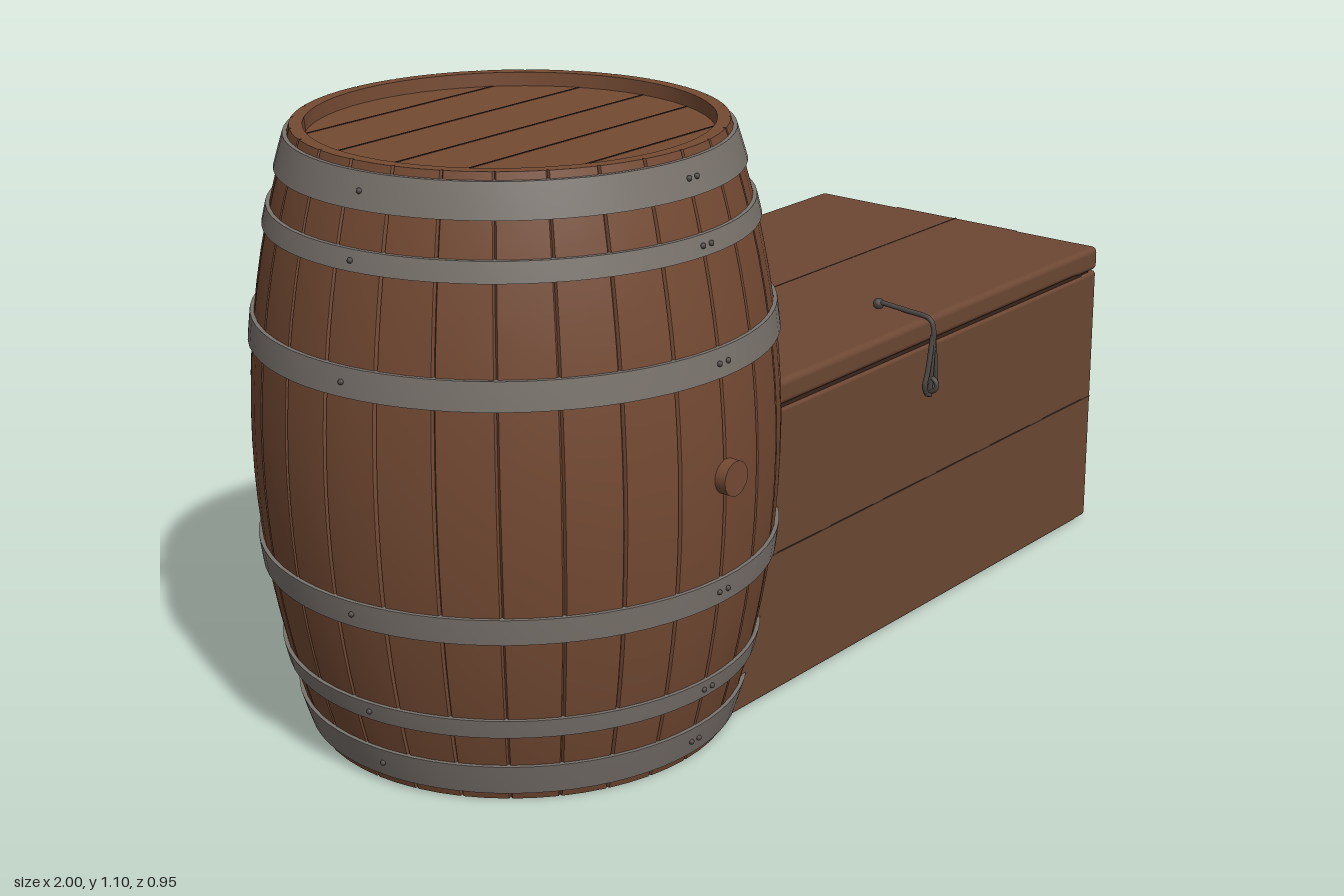
import * as THREE from 'three';
import { toCreasedNormals } from 'three/addons/utils/BufferGeometryUtils.js';
import { RoundedBoxGeometry } from 'three/addons/geometries/RoundedBoxGeometry.js';

const mat = (name, color) => Object.assign(new THREE.MeshStandardMaterial({ color }), { name });
const V = (x, y, z) => new THREE.Vector3(x, y, z);

export function createModel() {
  const barrelWood = mat('barrelWood', 0x744a33);
  const chestWood = mat('chestWood', 0x6c4733);
  const seamDark = mat('seamDark', 0x3a261b);
  const iron = mat('iron', 0x7a736d);
  const darkIron = mat('darkIron', 0x4c4743);
  const ropeBrown = mat('ropeBrown', 0x6e4933);

  const model = new THREE.Group();
  const barrel = new THREE.Group();
  barrel.name = 'barrel';
  barrel.position.set(-0.535, 0, -0.01);
  const chest = new THREE.Group();
  chest.name = 'chest';
  const handle = new THREE.Group();
  handle.name = 'ropeHandle';
  const latch = new THREE.Group();
  latch.name = 'latch';
  model.add(barrel, chest, handle, latch);

  const add = (parent, name, geometry, material) => {
    const mesh = new THREE.Mesh(geometry, material);
    mesh.name = name;
    parent.add(mesh);
    return mesh;
  };
  // Box given by its limits, with optional rounded edges
  const box = (parent, name, material, x0, x1, y0, y1, z0, z1, r = 0) => {
    const size = [x1 - x0, y1 - y0, z1 - z0];
    const g = r ? new RoundedBoxGeometry(...size, 3, r) : new THREE.BoxGeometry(...size);
    g.translate((x0 + x1) / 2, (y0 + y1) / 2, (z0 + z1) / 2);
    return add(parent, name, g, material);
  };
  const tube = (parent, name, material, points, r, segments = 48) => add(parent, name,
    new THREE.TubeGeometry(new THREE.CatmullRomCurve3(points.map(p => V(...p))), segments, r, 10), material);
  const ball = (parent, name, material, r, x, y, z) =>
    add(parent, name, new THREE.SphereGeometry(r, 10, 8), material).position.set(x, y, z);

  // Barrel shell: bulging staves separated by narrow grooves
  const radius = y => 0.465 - 0.09 * ((y - 0.55) / 0.55) ** 2;
  const staves = 28;
  const profile = [new THREE.Vector2(0.35, 0.03), new THREE.Vector2(0.352, 0.004)];
  for (let i = 0; i <= 20; i++) {
    const y = 0.004 + 1.096 * i / 20;
    profile.push(new THREE.Vector2(radius(y), y));
  }
  profile.push(new THREE.Vector2(0.352, 1.1), new THREE.Vector2(0.35, 1.07));
  const shell = new THREE.LatheGeometry(profile, staves * 4);
  const pos = shell.attributes.position;
  const shift = [0, 0.035, 0.5, 0.965];
  for (let k = 0; k <= staves * 4; k++) {
    const a = (Math.floor(k / 4) + shift[k % 4]) / staves * Math.PI * 2;
    profile.forEach((p, j) => {
      const outer = j > 1 && j < profile.length - 2;
      const r = p.x - (outer && k % 4 === 0 ? 0.006 : 0);
      pos.setXYZ(k * profile.length + j, Math.sin(a) * r, p.y, Math.cos(a) * r);
    });
  }
  add(barrel, 'staves', toCreasedNormals(shell, 0.5), barrelWood);

  // Recessed heads with plank seams
  [[0.03, 0.0299], [1.065, 1.0751]].forEach(([y, seamY], i) => {
    add(barrel, i ? 'topHead' : 'bottomHead', new THREE.CylinderGeometry(0.352, 0.352, 0.02, 56), barrelWood)
      .position.y = i ? y : y + 0.01;
    for (const z of [-0.26, -0.13, 0, 0.12, 0.25]) {
      const half = Math.sqrt(0.35 ** 2 - z * z);
      box(barrel, 'headSeam', seamDark, -half, half, seamY - 0.001, seamY + 0.001, z - 0.0015, z + 0.0015);
    }
  });

  // Iron hoops with rivets
  const hoops = [[0.02, 0.078], [0.14, 0.175], [0.325, 0.372], [0.73, 0.78], [0.932, 0.967], [1.028, 1.087]];
  hoops.forEach(([y0, y1]) => {
    const ym = (y0 + y1) / 2;
    const pts = [[-0.005, y0], [0.007, y0], [0.007, ym], [0.007, y1], [-0.005, y1]]
      .map(([d, y]) => new THREE.Vector2(radius(y) + d, y));
    add(barrel, 'hoop', toCreasedNormals(new THREE.LatheGeometry(pts, 72), 0.6), iron);
    for (const a of [-0.02, 0.03, 1.33, 2.36, 3.6, 4.8]) {
      const r = radius(ym) + 0.008;
      ball(barrel, 'rivet', darkIron, 0.005, Math.sin(a) * r, ym, Math.cos(a) * r);
    }
  });

  // Bung on the front of the barrel
  const bung = new THREE.CylinderGeometry(0.031, 0.031, 0.05, 20);
  bung.rotateX(Math.PI / 2);
  add(barrel, 'bung', bung, barrelWood).position.set(0.005, 0.555, 0.46);

  // Chest body and corner posts
  const zb = -0.38, zf = 0.328, zm = -0.025;
  box(chest, 'body', chestWood, -0.36, 0.85, 0.008, 0.555, zb, zf, 0.006);
  box(chest, 'frontPost', chestWood, 0.83, 0.885, 0.008, 0.558, 0.285, zf, 0.008);
  box(chest, 'backPost', chestWood, 0.83, 0.885, 0.008, 0.558, zb, -0.335, 0.008);

  // End panel with a finger notch under the lid
  const outline = [[0.283, 0.008], [-0.333, 0.008], [-0.333, 0.558], [-0.155, 0.558],
    [-0.155, 0.44], [0.11, 0.44], [0.11, 0.558], [0.283, 0.558]];
  const panel = new THREE.ExtrudeGeometry(
    new THREE.Shape(outline.map(([z, y]) => new THREE.Vector2(-z, y))), { depth: 0.03, bevelEnabled: false });
  panel.rotateY(Math.PI / 2);
  add(chest, 'endPanel', panel, chestWood).position.x = 0.848;
  const slope = new THREE.Shape([[0.84, 0.44], [0.877, 0.44], [0.855, 0.59], [0.84, 0.59]]
    .map(([x, y]) => new THREE.Vector2(x, y)));
  add(chest, 'notchBack', new THREE.ExtrudeGeometry(slope, { depth: 0.265, bevelEnabled: false }), chestWood)
    .position.z = -0.155;

  // Lid, with an end lip that thins out over the notch
  box(chest, 'lid', chestWood, -0.3, 0.86, 0.562, 0.61, zb, zf + 0.002, 0.012);
  box(chest, 'lidLipFront', chestWood, 0.8, 0.886, 0.56, 0.61, 0.11, zf + 0.002, 0.012);
  box(chest, 'lidLipBack', chestWood, 0.8, 0.886, 0.56, 0.61, zb, -0.155, 0.012);
  box(chest, 'lidLipMiddle', chestWood, 0.8, 0.886, 0.59, 0.61, -0.18, 0.135, 0.006);
  box(chest, 'lidGap', seamDark, -0.25, 0.86, 0.553, 0.565, zb + 0.006, zf - 0.006);

  // Plank seams
  box(chest, 'lidSeam', seamDark, -0.28, 0.885, 0.6095, 0.6106, zm - 0.0015, zm + 0.0015);
  box(chest, 'frontSeam', seamDark, -0.3, 0.88, 0.2795, 0.2825, zf - 0.001, zf + 0.0006);
  box(chest, 'backSeam', seamDark, -0.3, 0.88, 0.2795, 0.2825, zb - 0.0006, zb + 0.001);
  for (const y of [0.19, 0.37])
    box(chest, 'endSeam', seamDark, 0.877, 0.8786, y - 0.0015, y + 0.0015, -0.333, 0.283);

  // Tapered cleat that carries the rope
  const cleat = new THREE.Shape([[0.875, 0.195], [0.885, 0.195], [0.945, 0.11], [0.945, -0.16], [0.885, -0.245],
    [0.875, -0.245]].map(([x, z]) => new THREE.Vector2(x, -z)));
  const cleatGeo = new THREE.ExtrudeGeometry(cleat, { depth: 0.063, bevelEnabled: false });
  cleatGeo.rotateX(-Math.PI / 2);
  add(handle, 'cleat', cleatGeo, chestWood).position.y = 0.255;

  // Rope loop hung over the cleat, with whippings near its ends
  const back = [[0.915, 0.27, -0.1], [0.915, 0.32, -0.11], [0.93, 0.337, -0.135], [0.958, 0.325, -0.152],
    [0.967, 0.28, -0.156], [0.972, 0.2, -0.156]];
  const front = [[0.975, 0.2, 0.139], [0.967, 0.28, 0.14], [0.958, 0.325, 0.135], [0.93, 0.337, 0.115],
    [0.915, 0.32, 0.085], [0.915, 0.27, 0.075]];
  tube(handle, 'ropeLoop', ropeBrown, [...back, [0.98, 0.13, -0.154], [0.983, 0.085, -0.125], [0.984, 0.06, -0.06],
    [0.984, 0.057, 0], [0.983, 0.075, 0.075], [0.98, 0.125, 0.13], ...front], 0.016, 110);
  tube(handle, 'backWhipping', iron, back.slice(2), 0.0168, 24);
  tube(handle, 'frontWhipping', iron, front.slice(1, 4), 0.0168, 20);

  // Knot below the cleat
  const knot = new THREE.TorusKnotGeometry(0.036, 0.014, 80, 9, 2, 3);
  knot.rotateY(Math.PI / 2);
  add(handle, 'knot', knot, ropeBrown).position.set(0.93, 0.205, -0.025);
  tube(handle, 'knotStrandFront', ropeBrown, [[0.915, 0.29, 0.08], [0.915, 0.25, 0.09], [0.925, 0.235, 0.05], [0.935, 0.225, -0.02]], 0.015, 24);
  tube(handle, 'knotStrandBack', ropeBrown, [[0.915, 0.29, -0.105], [0.915, 0.25, -0.115], [0.925, 0.235, -0.08], [0.935, 0.22, -0.03]], 0.015, 24);
  tube(handle, 'knotTail', ropeBrown, [[0.93, 0.2, -0.01], [0.94, 0.16, 0.02], [0.93, 0.17, 0.055]], 0.015, 16);

  // Wire hook over the lid edge with its staple and teardrop ring
  tube(latch, 'hookWire', darkIron, [[0.25, 0.622, 0.215], [0.25, 0.617, 0.28], [0.25, 0.61, 0.335], [0.25, 0.595, 0.343],
    [0.25, 0.53, 0.342], [0.25, 0.455, 0.338]], 0.005);
  ball(latch, 'hookEye', darkIron, 0.011, 0.25, 0.618, 0.215);
  tube(latch, 'teardropRing', darkIron, [[0.25, 0.58, 0.342], [0.236, 0.51, 0.342], [0.23, 0.48, 0.34], [0.245, 0.46, 0.338],
    [0.264, 0.475, 0.34], [0.262, 0.51, 0.342], [0.252, 0.58, 0.342]], 0.005);
  const staple = new THREE.TorusGeometry(0.014, 0.005, 8, 16);
  staple.rotateY(Math.PI / 2);
  add(latch, 'staple', staple, darkIron).position.set(0.25, 0.48, 0.34);

  return model;
}
